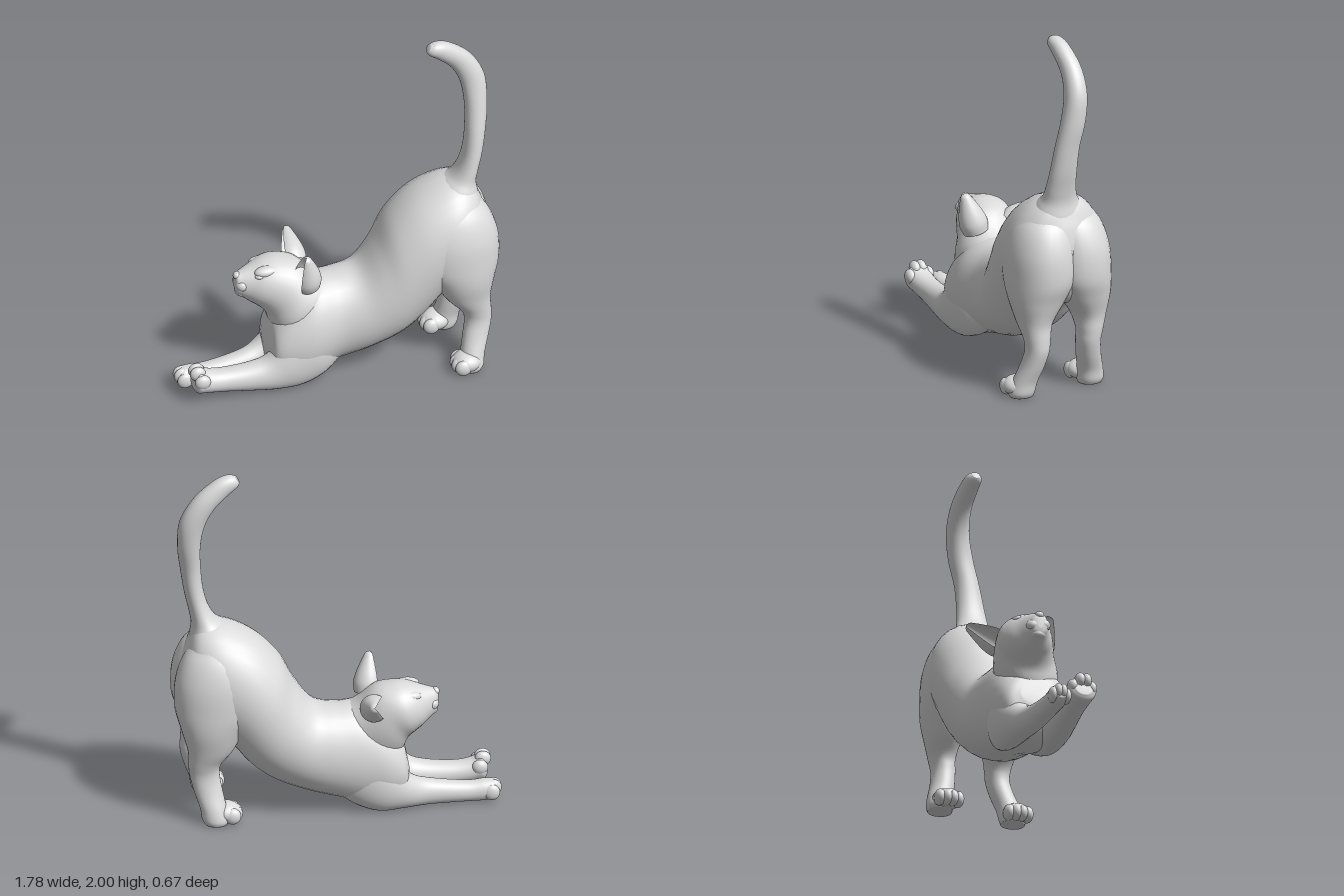
import * as THREE from 'three';

const fur = new THREE.MeshStandardMaterial({ color: 0xdcdcdc, side: THREE.DoubleSide });
fur.name = 'plain grey';

// Smooth skin through oval sections: [ax, ay, bx, by, z, halfWidth],
// where a and b are the opposite outline points seen from the side.
function loft(sections, steps = 6, sides = 32) {
  const ca = new THREE.CatmullRomCurve3(sections.map(s => new THREE.Vector3(s[0], s[1], s[4])), false, 'catmullrom', 0.5);
  const cb = new THREE.CatmullRomCurve3(sections.map(s => new THREE.Vector3(s[2], s[3], s[5])), false, 'catmullrom', 0.5);
  const n = (sections.length - 1) * steps;
  const pos = [], index = [], mids = [];
  const first = sections[0], last = sections[sections.length - 1];
  const tx = last[0] + last[2] - first[0] - first[2];
  const ty = last[1] + last[3] - first[1] - first[3];
  const mid = sections[sections.length >> 1];
  const flip = (mid[1] - mid[3]) * tx - (mid[0] - mid[2]) * ty < 0 ? -1 : 1;
  for (let i = 0; i <= n; i++) {
    const a = ca.getPoint(i / n), b = cb.getPoint(i / n);
    const cx = (a.x + b.x) / 2, cy = (a.y + b.y) / 2;
    mids.push([cx, cy, a.z]);
    for (let j = 0; j < sides; j++) {
      const t = (j / sides) * Math.PI * 2, c = Math.cos(t), s = Math.sin(t);
      const w = flip * b.z * Math.sign(s) * Math.pow(Math.abs(s), 0.9);
      pos.push(cx + (a.x - b.x) / 2 * c, Math.max(0, cy + (a.y - b.y) / 2 * c), a.z + w);
    }
  }
  for (let i = 0; i < n; i++) for (let j = 0; j < sides; j++) {
    const k = (j + 1) % sides, p = i * sides, q = p + sides;
    index.push(p + j, p + k, q + j, p + k, q + k, q + j);
  }
  // Close both ends
  const base = pos.length / 3;
  pos.push(...mids[0], ...mids[n]);
  for (let j = 0; j < sides; j++) {
    const k = (j + 1) % sides;
    index.push(base, k, j, base + 1, n * sides + j, n * sides + k);
  }
  const g = new THREE.BufferGeometry();
  g.setAttribute('position', new THREE.Float32BufferAttribute(pos, 3));
  g.setIndex(index);
  g.computeVertexNormals();
  return g;
}

function add(parent, name, geometry) {
  const m = new THREE.Mesh(geometry, fur);
  m.name = name;
  parent.add(m);
  return m;
}

function blob(parent, name, [x, y, z], [rx, ry, rz]) {
  const m = add(parent, name, new THREE.SphereGeometry(1, 24, 16));
  m.position.set(x, y, z);
  m.scale.set(rx, ry, rz);
}

// Open, cupped ear whose hollow faces forward
function ear(parent, name, base, tip, width) {
  const from = new THREE.Vector3(...base), dir = new THREE.Vector3(...tip).sub(from);
  const h = dir.length();
  const profile = [[0.9, -0.2], [1, 0.05], [0.9, 0.3], [0.7, 0.55], [0.46, 0.8], [0.28, 0.95], [0.01, 1]]
    .map(([r, y]) => new THREE.Vector2(r * width, y * h));
  const g = new THREE.LatheGeometry(new THREE.SplineCurve(profile).getPoints(20), 28, -Math.PI / 2 + 0.9, Math.PI * 2 - 1.8);
  const m = add(parent, name, g);
  m.position.copy(from);
  m.quaternion.setFromUnitVectors(new THREE.Vector3(0, 1, 0), dir.normalize());
}

export function createModel() {
  const cat = new THREE.Group();
  cat.name = 'stretchingCat';

  // Trunk, from chest to rump
  add(cat, 'body', loft([
    [-0.375, 0.32, -0.395, 0.21, 0, 0.09],
    [-0.35, 0.40, -0.38, 0.08, 0, 0.165],
    [-0.26, 0.51, -0.31, 0.015, 0, 0.203],
    [-0.13, 0.595, -0.2, 0.005, 0, 0.218],
    [0.01, 0.60, -0.02, 0.063, -0.02, 0.212],
    [0.13, 0.625, 0.16, 0.115, -0.015, 0.23],
    [0.225, 0.75, 0.34, 0.19, -0.01, 0.255],
    [0.31, 0.905, 0.47, 0.29, -0.015, 0.278],
    [0.45, 1.04, 0.58, 0.42, -0.01, 0.284],
    [0.62, 1.115, 0.68, 0.48, 0, 0.268],
    [0.745, 1.105, 0.76, 0.52, 0, 0.215],
    [0.805, 1.0, 0.81, 0.58, 0, 0.15],
    [0.835, 0.9, 0.84, 0.66, 0, 0.08],
    [0.845, 0.83, 0.845, 0.74, 0, 0.03],
  ]));

  // Neck and head, tapering to the muzzle
  const head = new THREE.Group();
  head.name = 'head';
  cat.add(head);
  add(head, 'neckAndSkull', loft([
    [0.03, 0.55, -0.27, 0.2, 0, 0.15],
    [-0.10, 0.615, -0.355, 0.33, -0.015, 0.178],
    [-0.20, 0.705, -0.385, 0.41, -0.04, 0.165],
    [-0.30, 0.732, -0.42, 0.452, -0.055, 0.152],
    [-0.38, 0.728, -0.462, 0.485, -0.055, 0.125],
    [-0.45, 0.706, -0.498, 0.515, -0.05, 0.088],
    [-0.505, 0.688, -0.523, 0.535, -0.045, 0.062],
    [-0.54, 0.675, -0.542, 0.555, -0.04, 0.042],
    [-0.55, 0.65, -0.55, 0.585, -0.04, 0.016],
  ]));
  blob(head, 'nose', [-0.535, 0.664, -0.042], [0.022, 0.021, 0.025]);
  blob(head, 'chin', [-0.512, 0.557, -0.042], [0.034, 0.025, 0.042]);
  for (const s of [-1, 1]) {
    blob(head, 'muzzlePad', [-0.514, 0.61 + s * 0.006, -0.042 + s * 0.03], [0.036, 0.034, 0.038]);
    blob(head, 'eye', [-0.425, 0.667 + s * 0.012, -0.053 + s * 0.076], [0.026, 0.014, 0.02]);
    blob(head, 'brow', [-0.385, 0.684 + s * 0.01, -0.055 + s * 0.064], [0.066, 0.03, 0.036]);
  }
  ear(head, 'leftEar', [-0.178, 0.65, 0.085], [-0.195, 0.832, 0.135], 0.078);
  ear(head, 'rightEar', [-0.19, 0.63, -0.16], [-0.18, 0.715, -0.335], 0.076);

  // Forelegs stretched out along the ground, the left paw raised
  add(cat, 'leftForeleg', loft([
    [-0.06, 0.46, 0.02, 0.12, 0.07, 0.07],
    [-0.17, 0.43, -0.09, 0.045, 0.1, 0.1],
    [-0.29, 0.335, -0.22, 0.0, 0.112, 0.1],
    [-0.4, 0.21, -0.36, 0.0, 0.114, 0.088],
    [-0.5, 0.175, -0.5, 0.015, 0.112, 0.076],
    [-0.65, 0.165, -0.65, 0.035, 0.108, 0.068],
    [-0.74, 0.178, -0.76, 0.05, 0.11, 0.07],
    [-0.79, 0.205, -0.81, 0.06, 0.112, 0.076],
    [-0.815, 0.19, -0.83, 0.09, 0.112, 0.05],
  ]));
  add(cat, 'rightForeleg', loft([
    [-0.06, 0.46, 0.02, 0.12, -0.08, 0.07],
    [-0.17, 0.42, -0.09, 0.045, -0.105, 0.095],
    [-0.29, 0.31, -0.22, 0.0, -0.11, 0.095],
    [-0.4, 0.19, -0.36, 0.0, -0.085, 0.082],
    [-0.5, 0.145, -0.5, 0.0, -0.055, 0.065],
    [-0.7, 0.115, -0.7, 0.0, -0.04, 0.056],
    [-0.8, 0.12, -0.8, 0.0, -0.034, 0.056],
    [-0.85, 0.115, -0.85, 0.01, -0.032, 0.052],
    [-0.875, 0.09, -0.875, 0.03, -0.032, 0.03],
  ]));
  for (let i = 0; i < 4; i++) {
    const o = i - 1.5, inner = Math.abs(o) < 1 ? 1 : 0;
    blob(cat, 'leftForeToe', [-0.785 - inner * 0.018, 0.145 + inner * 0.035, 0.112 + o * 0.036], [0.044, 0.042, 0.029]);
    blob(cat, 'rightForeToe', [-0.837 - inner * 0.012, 0.055 + inner * 0.018, -0.033 + o * 0.026], [0.044, 0.045, 0.025]);
  }

  // Hind legs, mirrored with a small stagger; the haunches overlap into a shallow groove
  for (const s of [1, -1]) {
    const side = s > 0 ? 'left' : 'right';
    const dx = s > 0 ? 0 : -0.038;
    const dz = s > 0 ? 0 : 0.045;
    add(cat, side + 'HindLeg', loft([
      [0.56, 1.06, 0.75, 1.04, 0.06, 0.1],
      [0.47, 0.95, 0.83, 0.95, 0.085, 0.155],
      [0.41, 0.82, 0.878, 0.82, 0.1, 0.184],
      [0.42, 0.67, 0.884, 0.67, 0.108, 0.186],
      [0.5, 0.55, 0.853, 0.55, 0.135, 0.152],
      [0.58, 0.43, 0.825, 0.43, 0.162, 0.097],
      [0.66, 0.34, 0.828, 0.34, 0.167, 0.072],
      [0.68, 0.27, 0.828, 0.27, 0.17, 0.065],
      [0.665, 0.18, 0.805, 0.18, 0.19, 0.066],
      [0.645, 0.09, 0.775, 0.09, 0.22, 0.07],
      [0.63, 0.03, 0.765, 0.03, 0.235, 0.074],
      [0.64, 0.0, 0.75, 0.0, 0.235, 0.066],
    ].map(([ax, ay, bx, by, z, w], i) => {
      const k = THREE.MathUtils.clamp((i - 5) / 5, 0, 1);
      const shift = THREE.MathUtils.clamp((i - 4) / 3, 0, 1) * dx;
      return [ax + shift, ay, bx + shift * 0.6, by, s * (z - dz * k), w];
    })));
    const px = s > 0 ? 0.66 : 0.6, pz = s > 0 ? 0.248 : -0.168;
    blob(cat, side + 'HindPaw', [px + 0.01, 0.056, pz], [0.08, 0.056, 0.08]);
    for (let i = 0; i < 4; i++) {
      const o = i - 1.5, inner = Math.abs(o) < 1 ? 1 : 0;
      blob(cat, side + 'HindToe', [px - 0.022 - inner * 0.012, 0.046, pz + o * 0.035], [0.046, 0.046, 0.031]);
    }
  }

  // Raised tail, hooking forward at the tip
  add(cat, 'tail', loft([
    [0.5, 1.02, 0.815, 0.9, 0.01, 0.16],
    [0.6, 1.1, 0.795, 1.02, 0.012, 0.13],
    [0.65, 1.14, 0.783, 1.1, 0.015, 0.1],
    [0.688, 1.205, 0.795, 1.18, 0.02, 0.086],
    [0.715, 1.3, 0.82, 1.29, 0.018, 0.077],
    [0.73, 1.43, 0.842, 1.43, 0.005, 0.07],
    [0.735, 1.58, 0.86, 1.58, -0.025, 0.068],
    [0.715, 1.71, 0.85, 1.74, -0.047, 0.062],
    [0.665, 1.81, 0.775, 1.875, -0.052, 0.056],
    [0.59, 1.885, 0.665, 1.968, -0.04, 0.05],
    [0.54, 1.925, 0.59, 1.997, -0.03, 0.042],
    [0.522, 1.95, 0.545, 1.99, -0.028, 0.022],
  ]));

  return cat;
}
